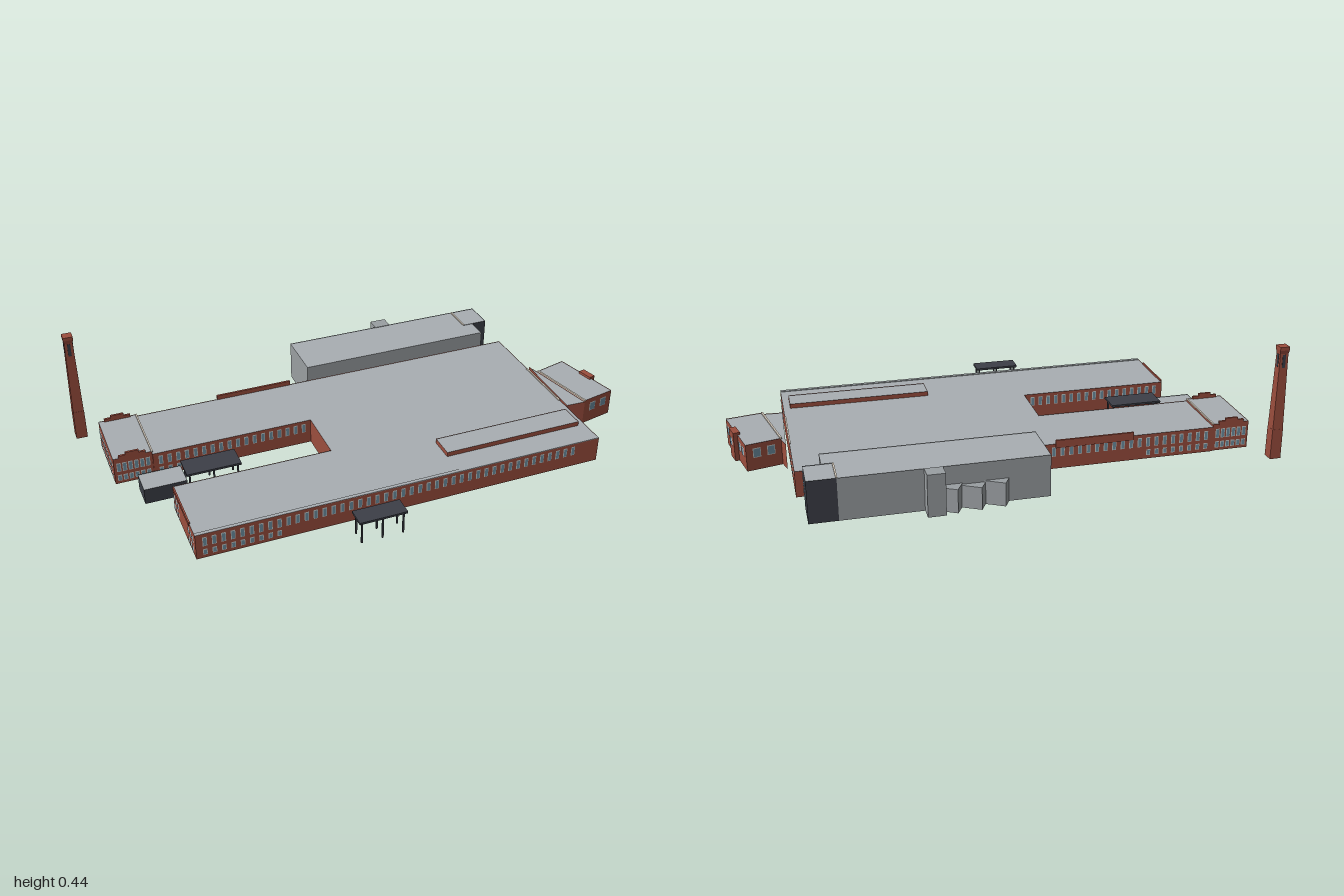
import * as THREE from 'three';
import { mergeGeometries } from 'three/addons/utils/BufferGeometryUtils.js';

const mat = (color) => new THREE.MeshStandardMaterial({ color, side: THREE.DoubleSide, flatShading: true });
const brick = mat(0x9c4e3e), roofing = mat(0xa9aeb2), cladding = mat(0x9a9fa2), dark = mat(0x3c3f47);
const glass = mat(0x6f93a6), frame = mat(0xc9d0d0), coping = mat(0xd6ccbd);

// Plane standing on the edge p->q (plan points [x, z]); outside is on the right of the edge
function panel(p, q, t, w, y0, y1, out = 0) {
  const dx = q[0] - p[0], dz = q[1] - p[1], len = Math.hypot(dx, dz);
  const g = new THREE.PlaneGeometry(w ?? len, y1 - y0);
  g.rotateY(Math.atan2(-dz, dx));
  return g.translate(p[0] + dx * t - dz / len * out, (y0 + y1) / 2, p[1] + dz * t + dx / len * out);
}

function add(parent, name, geometry, material) {
  const m = new THREE.Mesh(geometry, material);
  m.name = name;
  parent.add(m);
  return m;
}

function box(parent, name, a0, a1, y0, y1, b0, b1, material) {
  const g = new THREE.BoxGeometry(a1 - a0, y1 - y0, b1 - b0);
  return add(parent, name, g.translate((a0 + a1) / 2, (y0 + y1) / 2, (b0 + b1) / 2), material);
}

// Hollow building: walls along an outline, and a roof just under the parapet
function building(parent, name, pts, y0, y1, wallMat, hole) {
  const group = new THREE.Group();
  group.name = name;
  parent.add(group);
  const walls = pts.map((p, i) => panel(p, pts[(i + 1) % pts.length], 0.5, null, y0, y1));
  add(group, name + 'Walls', mergeGeometries(walls), wallMat);
  const toShape = (list) => list.map(([x, z]) => new THREE.Vector2(x, -z));
  const shape = new THREE.Shape(toShape(pts));
  if (hole) shape.holes.push(new THREE.Path(toShape(hole)));
  add(group, name + 'Roof', new THREE.ShapeGeometry(shape).rotateX(-Math.PI / 2).translate(0, y1 - 0.002, 0), roofing);
  return group;
}

// Row of framed windows between fractions t0 and t1 of the edge p->q
function windows(parent, name, p, q, t0, t1, n, y0, y1, w = 0.016) {
  const panes = [], frames = [];
  for (let i = 0; i < n; i++) {
    const t = t0 + (t1 - t0) * (i + 0.5) / n;
    frames.push(panel(p, q, t, w, y0, y1, 0.0015));
    panes.push(panel(p, q, t, w - 0.005, y0 + 0.003, y1 - 0.003, 0.003));
  }
  add(parent, name + 'Frames', mergeGeometries(frames), frame);
  add(parent, name + 'Panes', mergeGeometries(panes), glass);
}

const rect = (a0, a1, b0, b1) => [[a0, b1], [a1, b1], [a1, b0], [a0, b0]];

function canopy(parent, name, a0, a1, b0, b1, h) {
  const g = new THREE.Group();
  g.name = name;
  parent.add(g);
  box(g, 'canopyRoof', a0, a1, h - 0.008, h, b0, b1, dark);
  for (const a of [a0 + 0.012, (a0 + a1) / 2, a1 - 0.012])
    for (const b of [b0 + 0.01, b1 - 0.01])
      box(g, 'canopyPost', a - 0.003, a + 0.003, 0, h - 0.008, b - 0.003, b + 0.003, dark);
}

export function createModel() {
  const model = new THREE.Group();
  model.name = 'factory';
  // Most of the site shares one diagonal grid
  const site = new THREE.Group();
  site.name = 'mainSite';
  site.rotation.y = 0.6486;
  model.add(site);

  // Main hall with a yard cut into its left end
  const F0 = [-0.722, 0.52], F1 = [0.833, 0.52], R1 = [0.833, -0.26], R0 = [-0.742, -0.26];
  const Y0 = [-0.742, 0.012], Y1 = [-0.127, 0.012], Y2 = [-0.127, 0.228], Y3 = [-0.722, 0.228];
  const lantern = rect(0.254, 0.806, 0.323, 0.418);
  building(site, 'mainHall', [F0, F1, R1, R0, Y0, Y1, Y2, Y3], 0, 0.1, brick, lantern);
  building(site, 'roofLantern', lantern, 0.096, 0.116, brick);
  box(site, 'frontCoping', -0.722, 0.833, 0.098, 0.101, 0.506, 0.52, roofing);
  box(site, 'endCoping', 0.828, 0.834, 0.098, 0.102, -0.02, 0.24, coping);
  box(site, 'rearParapet', -0.418, -0.115, 0.085, 0.116, -0.266, -0.258, brick);
  box(site, 'wingParapet', -0.725, -0.719, 0.09, 0.105, 0.24, 0.45, brick);
  windows(site, 'frontUpper', F0, F1, 0.01, 0.94, 44, 0.05, 0.088);
  windows(site, 'frontLower', F0, F1, 0.01, 0.2, 9, 0.014, 0.038);
  windows(site, 'yardUpper', Y0, Y1, 0.02, 0.98, 18, 0.05, 0.088);
  windows(site, 'yardLower', Y0, Y1, 0.02, 0.5, 9, 0.014, 0.038);
  windows(site, 'wingYard', Y2, Y3, 0.03, 0.97, 17, 0.05, 0.088);
  windows(site, 'rearUpper', [-0.045, -0.26], R0, 0.02, 0.98, 20, 0.05, 0.088);
  windows(site, 'rearLower', [-0.045, -0.26], R0, 0.6, 0.98, 8, 0.014, 0.038);
  windows(site, 'endFront', F1, R1, 0.04, 0.27, 4, 0.05, 0.088, 0.024);
  windows(site, 'endRear', F1, R1, 0.73, 0.97, 4, 0.05, 0.088, 0.024);
  for (const y of [0.012, 0.052]) {
    windows(site, 'wingEndA', Y3, F0, 0.03, 0.3, 3, y, y + 0.03);
    windows(site, 'wingEndB', Y3, F0, 0.68, 0.95, 3, y, y + 0.03);
  }

  // Head house at the end of the rear wing, with stepped gables
  const head = rect(-0.886, -0.742, -0.256, 0.007);
  building(site, 'headHouse', head, 0, 0.11, brick);
  box(site, 'headCoping', -0.745, -0.739, 0.107, 0.112, -0.256, 0.007, coping);
  for (const b of [0.004, -0.253]) {
    box(site, 'gableStep', -0.865, -0.765, 0.105, 0.12, b - 0.004, b + 0.004, brick);
    box(site, 'gableTop', -0.84, -0.79, 0.12, 0.13, b - 0.004, b + 0.004, brick);
  }
  for (const [y0, y1] of [[0.012, 0.038], [0.052, 0.09]]) {
    windows(site, 'headFront', head[0], head[1], 0.05, 0.95, 6, y0, y1);
    windows(site, 'headRear', head[2], head[3], 0.05, 0.95, 6, y0, y1);
    windows(site, 'headEnd', head[3], head[0], 0.03, 0.97, 9, y0, y1);
  }

  // Tall clad hall behind, with a glazed corner
  building(site, 'cladHall', [[-0.038, -0.262], [0.745, -0.262], [0.745, -0.347],
    [0.705, -0.347], [0.705, -0.468], [-0.038, -0.468]], 0, 0.16, cladding);
  const corner = rect(0.705, 0.808, -0.468, -0.347);
  building(site, 'glazedCorner', corner, 0, 0.16, dark);
  box(site, 'cornerCoping', 0.702, 0.708, 0.156, 0.162, -0.468, -0.347, coping);
  for (const y of [0.06, 0.11]) {
    const panes = [0.2, 0.5, 0.8].map((t) => panel(corner[1], corner[2], t, 0.03, y, y + 0.04, 0.002));
    add(site, 'cornerPanes', mergeGeometries(panes), glass);
  }

  // Plant units along the rear wall
  box(site, 'ductTower', 0.345, 0.41, 0, 0.16, -0.52, -0.466, cladding);
  [[-0.155, -0.455, 0.09], [-0.09, -0.51, 0.085], [-0.025, -0.565, 0.09]].forEach(([x, z, h]) => {
    const unit = add(model, 'plantUnit', new THREE.BoxGeometry(0.078, h, 0.07), cladding);
    unit.position.set(x, h / 2, z);
    unit.rotation.y = 0.15;
  });

  // Yard shed and open canopies
  building(site, 'yardShed', rect(-0.812, -0.654, 0.064, 0.162), 0, 0.062, dark);
  canopy(site, 'yardCanopy', -0.654, -0.449, 0.068, 0.162, 0.085);
  canopy(site, 'frontCanopy', -0.186, -0.008, 0.58, 0.652, 0.094);

  // Tapered square chimney
  const chimney = new THREE.Group();
  chimney.name = 'chimney';
  chimney.position.set(-0.945, 0, -0.359);
  site.add(chimney);
  const taper = (name, s0, s1, y0, y1, m = brick) => {
    const g = new THREE.CylinderGeometry(s1 * Math.SQRT1_2, s0 * Math.SQRT1_2, y1 - y0, 4);
    add(chimney, name, g.rotateY(Math.PI / 4).translate(0, (y0 + y1) / 2, 0), m);
  };
  taper('chimneyBase', 0.043, 0.042, 0, 0.12);
  taper('chimneyShaft', 0.041, 0.031, 0.12, 0.425);
  taper('chimneyFlare', 0.031, 0.037, 0.418, 0.432);
  taper('chimneyCap', 0.037, 0.037, 0.432, 0.445);
  for (let i = 0; i < 4; i++) {
    const slot = add(chimney, 'chimneyPanel', new THREE.BoxGeometry(0.012, 0.05, 0.002).translate(0, 0.39, 0.0165), dark);
    slot.rotation.y = i * Math.PI / 2;
  }

  // Office annex, set at its own angle and joined by a wedge
  const A = [0.785, -0.605], B = [0.998, -0.43], C = [0.905, -0.325], D = [0.7, -0.5];
  building(model, 'annexLink', [[0.66, -0.53], [0.84, -0.28], C, D], 0, 0.1, brick);
  building(model, 'annex', [C, B, A, D], 0, 0.106, brick);
  const ridge = add(model, 'annexCoping', new THREE.BoxGeometry(0.27, 0.005, 0.007), coping);
  ridge.position.set((C[0] + D[0]) / 2, 0.106, (C[1] + D[1]) / 2);
  ridge.rotation.y = Math.atan2(D[1] - C[1], C[0] - D[0]);
  windows(model, 'annexLeft', B, A, 0.06, 0.36, 2, 0.05, 0.088, 0.03);
  windows(model, 'annexRight', B, A, 0.64, 0.94, 2, 0.05, 0.088, 0.03);
  windows(model, 'annexSide', C, B, 0.1, 0.9, 2, 0.05, 0.088, 0.03);
  windows(model, 'annexRear', A, D, 0.1, 0.9, 2, 0.05, 0.088, 0.03);
  const porch = new THREE.Group();
  porch.name = 'annexPorch';
  porch.position.set((A[0] + B[0]) / 2, 0, (A[1] + B[1]) / 2);
  porch.rotation.y = Math.atan2(B[1] - A[1], A[0] - B[0]);
  model.add(porch);
  box(porch, 'porchBlock', -0.03, 0.03, 0, 0.114, -0.01, 0.016, brick);
  windows(porch, 'porchWindow', [-0.03, 0.016], [0.03, 0.016], 0, 1, 1, 0.055, 0.09, 0.03);
  return model;
}
